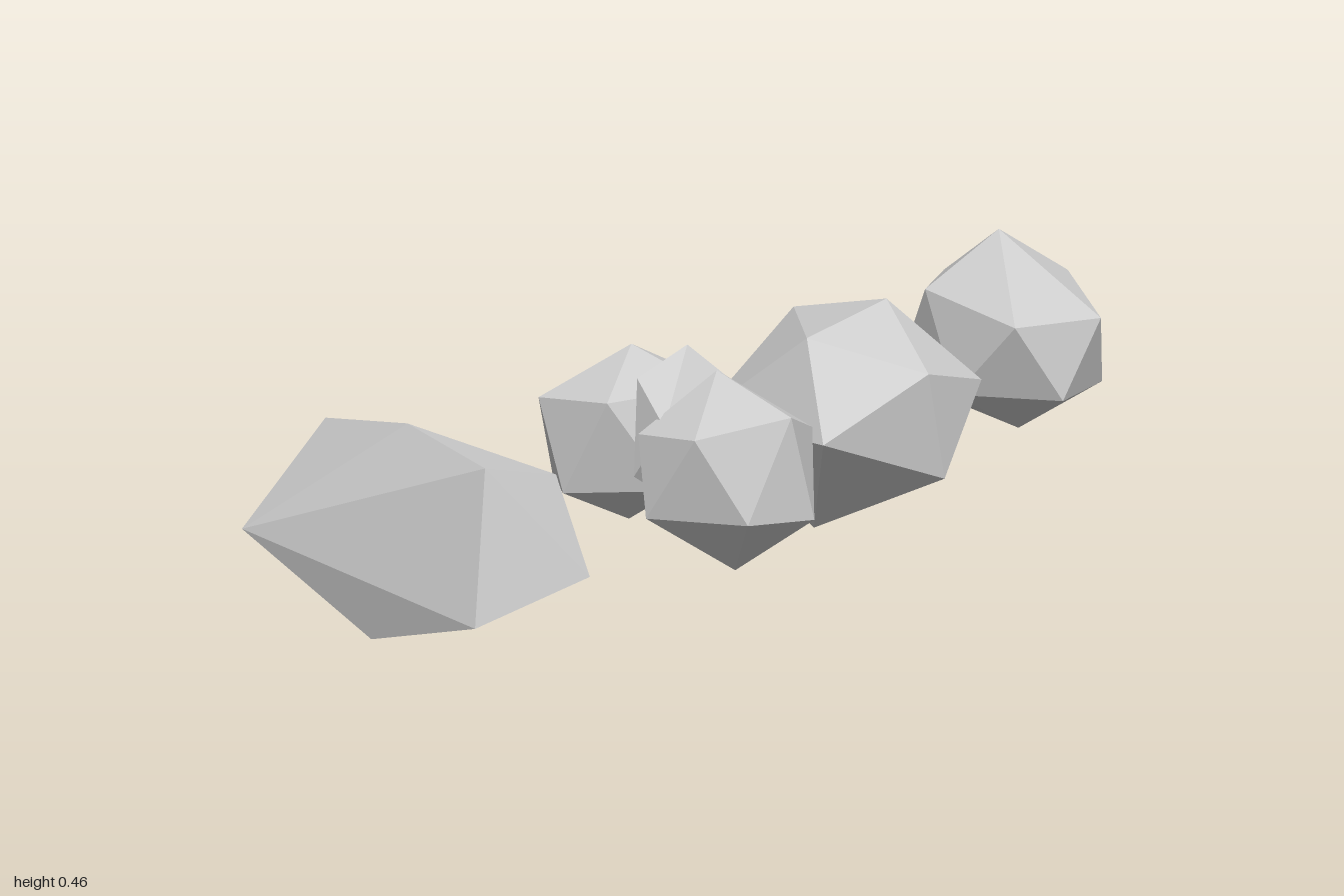
import * as THREE from 'three';
import { ConvexGeometry } from 'three/addons/geometries/ConvexGeometry.js';

const stone = new THREE.MeshStandardMaterial({ color: 0xcccccc, flatShading: true });

// A faceted rock: the convex hull of a few corner points
function rock(name, corners) {
  const pts = corners.map((p) => new THREE.Vector3(...p));
  const mesh = new THREE.Mesh(new ConvexGeometry(pts), stone);
  mesh.name = name;
  return mesh;
}

// Adds the opposite corner of every point, mirrored through a centre
function withOpposites(c, half) {
  return [...half, ...half.map((p) => p.map((v, i) => 2 * c[i] - v))];
}

export function createModel() {
  const group = new THREE.Group();
  group.name = 'rocks';

  // Long sloping rock
  group.add(rock('longRock', [
    [-0.89, 0.405, 0.06], [-0.91, 0.37, 0.25], [-0.82, 0.36, -0.21],
    [-0.725, 0.32, 0.21], [-0.785, 0.195, 0.34], [-0.96, 0.14, 0.275],
    [-1.0, 0.215, -0.205], [-0.84, 0.205, -0.345], [-0.655, 0.26, -0.32],
    [-0.595, 0.165, -0.215], [-0.72, 0.11, -0.31],
    [-0.965, 0.08, 0.05], [-0.815, 0.07, -0.18],
  ]));

  // Split rock: two lumps grown together around a small core
  const split = new THREE.Group();
  split.name = 'splitRock';
  split.add(rock('frontLump', [
    [-0.25, 0.39, 0.105], [-0.25, 0.335, 0.268], [-0.115, 0.285, 0.195],
    [-0.12, 0.3, 0.075], [-0.39, 0.3, 0.06], [-0.395, 0.31, 0.19],
    [-0.34, 0.17, 0.255], [-0.21, 0.16, 0.283], [-0.14, 0.115, 0.13],
    [-0.27, 0.12, 0.02], [-0.415, 0.17, 0.1], [-0.27, 0.065, 0.163],
  ]));
  split.add(rock('backLump', withOpposites([-0.265, 0.26, -0.08], [
    [-0.26, 0.41, -0.08], [-0.115, 0.34, -0.07], [-0.215, 0.33, -0.22],
    [-0.4, 0.33, -0.16], [-0.39, 0.34, -0.01], [-0.2, 0.345, 0.04],
  ])));
  split.add(rock('core', [
    [-0.23, 0.418, 0.02], [-0.35, 0.38, 0.02], [-0.36, 0.31, 0.09],
    [-0.14, 0.33, 0.02], [-0.16, 0.34, 0.08], [-0.14, 0.24, 0.05],
    [-0.37, 0.22, 0.03], [-0.27, 0.15, 0.05],
  ]));
  group.add(split);

  // Large angular rock
  group.add(rock('largeRock', [
    [0.325, 0.41, -0.015], [0.15, 0.36, -0.05], [0.24, 0.31, 0.153],
    [0.43, 0.265, 0.12], [0.485, 0.305, -0.17], [0.33, 0.365, -0.24],
    [0.08, 0.195, 0.05], [0.285, 0.115, 0.155], [0.475, 0.07, -0.025],
    [0.095, 0.2, -0.255], [0.36, 0.15, -0.3], [0.205, 0, -0.08],
  ]));

  // Small round rock
  group.add(rock('roundRock', [
    [0.8, 0.46, -0.135], [1.0, 0.355, -0.12], [0.84, 0.31, 0.08],
    [0.655, 0.31, 0.02], [0.66, 0.355, -0.2], [0.84, 0.355, -0.3],
    [0.93, 0.165, 0.02], [0.93, 0.165, -0.22], [0.69, 0.165, -0.295],
    [0.63, 0.17, -0.1], [0.74, 0.165, 0.07], [0.8, 0.08, -0.08],
  ]));

  return group;
}
